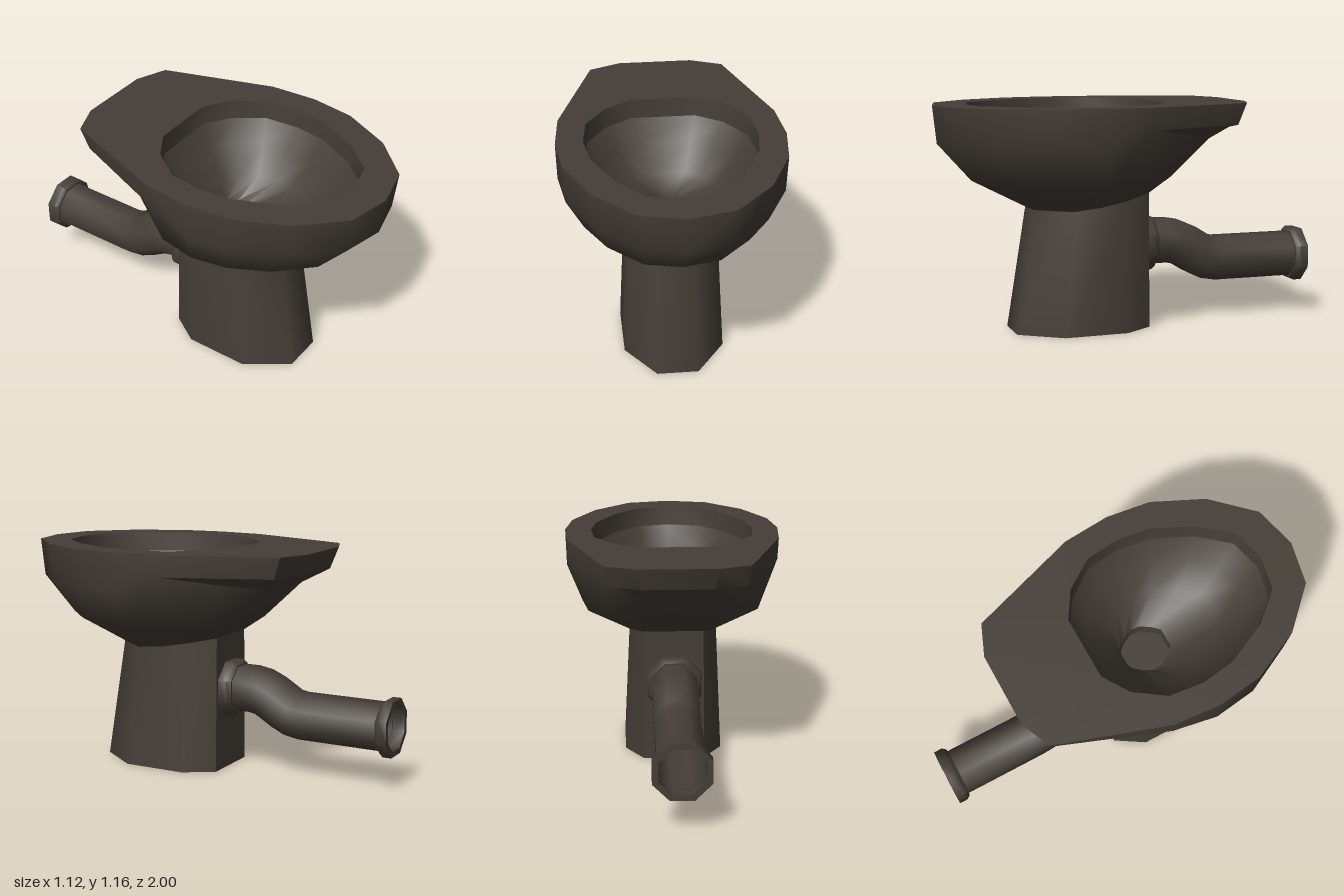
import * as THREE from 'three';
import { toCreasedNormals } from 'three/addons/utils/BufferGeometryUtils.js';

// Double sided: the pedestal is open below and the pipe is hollow
const glaze = new THREE.MeshStandardMaterial({ color: 0x453e37, side: THREE.DoubleSide });
glaze.name = 'dark glaze';

// Skin a series of rings; each ring runs anticlockwise seen from the far end.
// Diagonals are mirrored so the left and right halves match.
function loft(name, rings, crease, { open = false, capEnd = false } = {}) {
  const n = rings[0].length;
  const pos = [];
  const tri = (...corners) => {
    if (new Set(corners.map(String)).size === 3) pos.push(...corners.flat());
  };
  for (let r = 0; r < rings.length - 1; r++) {
    const a = rings[r], b = rings[r + 1];
    for (let i = 0; i < (open ? n - 1 : n); i++) {
      const j = (i + 1) % n;
      if (i < n / 2) {
        tri(a[i], a[j], b[j]);
        tri(a[i], b[j], b[i]);
      } else {
        tri(a[i], a[j], b[i]);
        tri(a[j], b[j], b[i]);
      }
    }
  }
  if (capEnd) {
    const last = rings[rings.length - 1];
    for (let i = 1; i < n - 1; i++) tri(last[0], last[i], last[i + 1]);
  }
  const geo = new THREE.BufferGeometry();
  geo.setAttribute('position', new THREE.Float32BufferAttribute(pos, 3));
  const mesh = new THREE.Mesh(toCreasedNormals(geo, crease), glaze);
  mesh.name = name;
  return mesh;
}

// Half outline of [x, z], front to back on the left side, mirrored to a full ring.
// y is one height or a height per point.
function mirrorRing(half, y) {
  const left = half.map(([x, z], i) => [x, Array.isArray(y) ? y[i] : y, z]);
  const right = left.filter((p) => p[0] > 0).reverse().map(([x, h, z]) => [-x, h, z]);
  return [...left, ...right];
}

// Eight-sided pipe ring, heading backwards and tilted down by t.
function pipeRing([z, y, r, t = 0]) {
  return Array.from({ length: 8 }, (_, i) => {
    const a = (i + 0.5) * Math.PI / 4;
    const R = r / Math.cos(Math.PI / 8);
    const u = Math.sin(a) * R;
    return [-Math.cos(a) * R, y + u * Math.cos(t), z - u * Math.sin(t)];
  });
}

export function createModel() {
  const group = new THREE.Group();
  group.name = 'toilet';

  // Bowl outlines
  const foot = [[0, 0.52], [0.09, 0.51], [0.16, 0.43], [0.225, 0.34], [0.225, 0.2], [0.225, 0.07], [0.18, -0.03], [0.15, -0.08]];
  const belly = [[0, 0.81], [0.18, 0.77], [0.34, 0.61], [0.44, 0.42], [0.475, 0.24], [0.44, 0.04], [0.29, -0.12], [0.15, -0.2]];
  const shoulder = [[0, 0.98], [0.215, 0.93], [0.4, 0.74], [0.525, 0.49], [0.555, 0.27], [0.535, 0.03], [0.375, -0.2], [0.17, -0.4]];
  const underLedge = [...shoulder.slice(0, 6), [0.335, -0.49], [0.175, -0.555]];
  const rim = [[0, 1], [0.22, 0.95], [0.41, 0.755], [0.53, 0.5], [0.56, 0.27], [0.54, 0.03], [0.35, -0.53], [0.19, -0.595]];
  const opening = [[0, 0.83], [0.17, 0.79], [0.3, 0.64], [0.4, 0.43], [0.425, 0.26], [0.405, 0.08], [0.3, -0.07], [0.165, -0.155]];
  const drain = [[0, 0.31], [0.05, 0.31], [0.09, 0.27], [0.12, 0.22], [0.125, 0.17], [0.1, 0.12], [0.06, 0.075], [0.03, 0.065]];
  const scaled = (s) => opening.map(([x, z]) => [x * s, 0.25 + (z - 0.25) * s]);

  const shoulderRing = mirrorRing(shoulder, [0.97, 0.97, 0.97, 0.97, 0.97, 1.05, 1.01, 0.97]);
  const rimRing = mirrorRing(rim, 1.16);
  const openingRing = mirrorRing(opening, 1.16);
  const lipRing = mirrorRing(scaled(0.985), 1.06);
  const isBack = (i) => i > 5 && i < 10;

  // Outer shell: rises to the rim in front, stops under the ledge at the back
  group.add(loft('bowl', [
    mirrorRing(foot, [0.63, 0.63, 0.63, 0.63, 0.645, 0.67, 0.69, 0.7]),
    mirrorRing(belly, 0.78),
    shoulderRing,
    rimRing.map((p, i) => (isBack(i) ? shoulderRing[i] : p)),
  ], 0.9));

  // Overhanging ledge behind the bowl
  group.add(loft('rearLedge', [shoulderRing, mirrorRing(underLedge, 1.05), rimRing]
    .map((ring) => ring.slice(5, 11)), 0.7, { open: true }));

  // Flat rim with its upright inner lip
  group.add(loft('rim', [rimRing, openingRing, lipRing], 0.9));

  // Basin running down to the drain
  group.add(loft('basin', [
    lipRing,
    mirrorRing(scaled(0.83), 0.95),
    mirrorRing(scaled(0.58), 0.82),
    mirrorRing(drain, 0.73),
    mirrorRing(drain, 0.66),
  ], 0.9, { capEnd: true }));

  // Tapered pedestal with a flat back
  group.add(loft('pedestal', [
    mirrorRing([[0.105, 0.61], [0.255, 0.4], [0.255, 0.07], [0.16, -0.08]], 0),
    mirrorRing([[0.09, 0.51], [0.225, 0.34], [0.225, 0.07], [0.15, -0.08]], [0.63, 0.63, 0.67, 0.7]),
  ], 0.97));

  // Waste pipe: z, y, radius, tilt
  group.add(loft('wastePipe', [
    [-0.08, 0.425, 0.115], [-0.22, 0.425, 0.115, 0.06], [-0.275, 0.415, 0.115, 0.25], [-0.325, 0.392, 0.115, 0.5],
    [-0.39, 0.352, 0.115, 0.5], [-0.44, 0.326, 0.115, 0.27], [-0.5, 0.315, 0.115, 0.05], [-0.95, 0.313, 0.115],
  ].map(pipeRing), 0.9));

  // Collar against the pedestal
  group.add(loft('pedestalCollar', [
    [-0.08, 0.422, 0.14], [-0.125, 0.422, 0.14], [-0.148, 0.422, 0.125], [-0.148, 0.422, 0.11],
  ].map(pipeRing), 0.8));

  // Collar around the open end
  group.add(loft('endCollar', [
    [-0.935, 0.312, 0.11], [-0.935, 0.312, 0.125], [-0.955, 0.312, 0.14], [-1, 0.312, 0.14],
    [-1, 0.312, 0.112], [-0.95, 0.313, 0.112],
  ].map(pipeRing), 0.8));

  return group;
}
